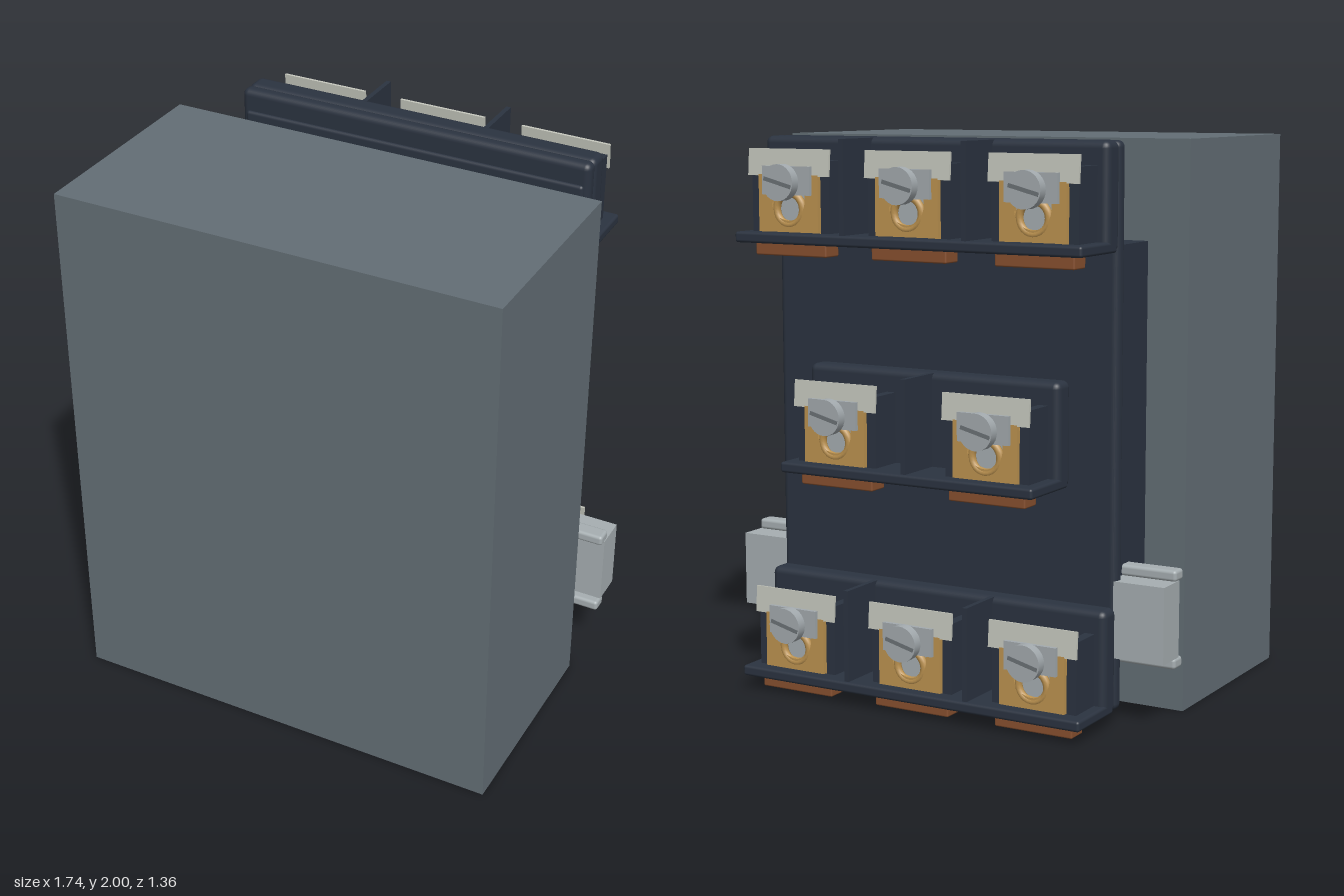
import * as THREE from 'three';
import { RoundedBoxGeometry } from 'three/addons/geometries/RoundedBoxGeometry.js';

const mat = (name, color) => {
  const m = new THREE.MeshStandardMaterial({ color });
  m.name = name;
  return m;
};

export function createModel() {
  const M = {
    housing: mat('slate grey housing', 0x636e75),
    plastic: mat('dark navy plastic', 0x2b3340),
    rail: mat('light grey rail', 0xa6aeb1),
    steel: mat('screw steel', 0xa3aaae),
    brass: mat('brass', 0xbd9350),
    copper: mat('copper', 0x87502f),
    label: mat('label off white', 0xc3c5bb),
    slot: mat('slot grey', 0x6c7276),
  };
  const root = new THREE.Group();
  root.name = 'contactor';

  const add = (parent, name, geo, material, x = 0, y = 0, z = 0) => {
    const mesh = new THREE.Mesh(geo, material);
    mesh.name = name;
    mesh.position.set(x, y, z);
    parent.add(mesh);
    return mesh;
  };
  // Box given by its limits, with optional rounded edges
  const box = (parent, name, material, [x0, x1], [y0, y1], [z0, z1], r = 0) => {
    const s = [x1 - x0, y1 - y0, z1 - z0];
    const geo = r ? new RoundedBoxGeometry(...s, 3, r) : new THREE.BoxGeometry(...s);
    return add(parent, name, geo, material, (x0 + x1) / 2, (y0 + y1) / 2, (z0 + z1) / 2);
  };
  // Cylinder along z
  const disc = (parent, name, material, r, x, y, z0, z1, sides = 24) =>
    add(parent, name, new THREE.CylinderGeometry(r, r, z1 - z0, sides).rotateX(Math.PI / 2),
      material, x, y, (z0 + z1) / 2);

  // Housing, neck and terminal plate
  box(root, 'housing', M.housing, [-0.82, 0.82], [0, 2], [-0.115, 0.68]);
  box(root, 'neck', M.plastic, [-0.665, 0.665], [0.35, 1.65], [-0.35, -0.11]);
  box(root, 'plateFront', M.plastic, [-0.67, 0.67], [0.06, 1.92], [-0.36, -0.325], 0.012);
  box(root, 'plate', M.plastic, [-0.69, 0.69], [0.05, 2], [-0.392, -0.335], 0.024);
  for (const x of [-0.63, -0.34, -0.14, 0.14, 0.34, 0.63])
    disc(root, 'platePeg', M.plastic, 0.02, x, 1.85, -0.34, -0.318, 12);

  // Mounting rail, showing on both sides
  const rail = new THREE.Group();
  rail.name = 'mountingRail';
  root.add(rail);
  box(rail, 'railBody', M.rail, [-0.87, 0.87], [0.24, 0.51], [-0.388, -0.265]);
  for (const y of [0.2, 0.508])
    box(rail, 'railLip', M.rail, [-0.87, 0.87], [y, y + 0.04], [-0.295, -0.232], 0.012);

  // Brass clamp face: plate with a round-bottomed wire opening
  const face = new THREE.Shape();
  face.moveTo(-0.125, 0.04).lineTo(0.125, 0.04).lineTo(0.125, 0.24).lineTo(-0.125, 0.24).closePath();
  const opening = new THREE.Path();
  opening.moveTo(0.07, 0.225);
  opening.lineTo(0.07, 0.15);
  opening.absarc(0, 0.15, 0.07, 0, Math.PI, true);
  opening.lineTo(-0.07, 0.225);
  opening.closePath();
  face.holes.push(opening);
  const faceGeo = new THREE.ExtrudeGeometry(face, { depth: 0.018, bevelEnabled: false, curveSegments: 12 });

  // One terminal: pocket, brass clamp, screw, label and copper tab
  const terminal = (parent, x) => {
    const t = new THREE.Group();
    t.name = 'terminal';
    t.position.x = x;
    parent.add(t);
    for (const s of [-1, 1]) {
      const span = (a, b) => (s > 0 ? [a, b] : [-b, -a]);
      box(t, 'pocketWall', M.plastic, span(0.127, 0.163), [0.03, 0.29], [-0.6, -0.46]);
      box(t, 'clampSide', M.brass, span(0.095, 0.125), [0.035, 0.22], [-0.6, -0.46]);
    }
    add(t, 'clampFace', faceGeo, M.brass, 0, 0, -0.616);
    box(t, 'clampBlock', M.rail, [-0.094, 0.094], [0.035, 0.19], [-0.585, -0.465]);
    add(t, 'wireRing', new THREE.TorusGeometry(0.055, 0.014, 8, 24), M.brass, 0, 0.12, -0.605);
    box(t, 'pressurePlate', M.steel, [-0.1, 0.1], [0.17, 0.27], [-0.63, -0.615]);

    disc(t, 'screwHead', M.steel, 0.064, 0, 0.215, -0.68, -0.643, 28);
    disc(t, 'screwShank', M.steel, 0.024, 0, 0.215, -0.65, -0.515, 16);
    for (let i = 0; i < 6; i++)
      add(t, 'screwThread', new THREE.TorusGeometry(0.028, 0.007, 6, 18), M.steel, 0, 0.215, -0.61 + i * 0.017);
    box(t, 'screwSlot', M.slot, [-0.058, 0.058], [0.208, 0.222], [-0.682, -0.678]).rotation.z = 0.25;

    const tag = box(t, 'label', M.label, [-0.17, 0.17], [0.235, 0.33], [-0.612, -0.603]);
    tag.rotation.x = 0.08;
    box(t, 'copperTab', M.copper, [-0.15, 0.15], [-0.045, 0.01], [-0.605, -0.525], 0.006);
  };

  // Terminal rows: back rail, shelf and dividers
  const row = (y, half, terminals, dividers) => {
    const g = new THREE.Group();
    g.name = 'terminalRow';
    g.position.y = y;
    root.add(g);
    box(g, 'rowBack', M.plastic, [-half, half], [0, 0.37], [-0.47, -0.38], 0.025);
    box(g, 'shelf', M.plastic, [-half, half], [0, 0.038], [-0.658, -0.4], 0.01);
    for (const x of dividers)
      box(g, 'divider', M.plastic, [x - 0.009, x + 0.009], [0.02, 0.368], [-0.648, -0.44]);
    for (const x of terminals) terminal(g, x);
  };
  row(1.63, 0.69, [-0.487, 0, 0.487], [-0.243, 0.243]);
  row(0.82, 0.51, [-0.305, 0.305], [0]);
  row(0.05, 0.69, [-0.487, 0, 0.487], [-0.243, 0.243]);

  return root;
}
